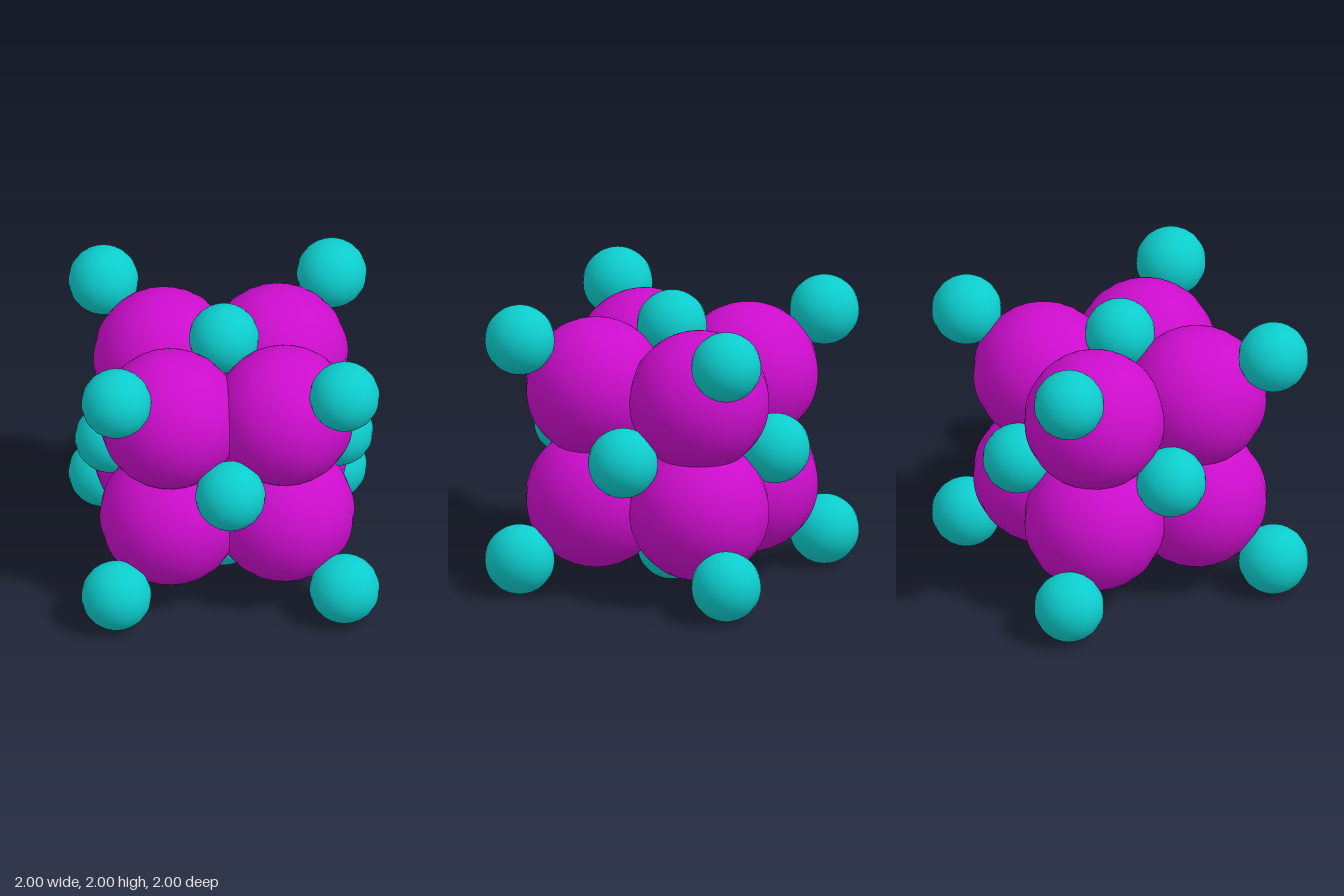
import * as THREE from 'three';

export function createModel() {
  const model = new THREE.Group();
  model.name = 'crystalCell';

  const purple = new THREE.MeshStandardMaterial({ name: 'purple', color: 0xcc0dcc });
  const teal = new THREE.MeshStandardMaterial({ name: 'teal', color: 0x0dcccc });

  const largeBall = new THREE.SphereGeometry(0.473, 20, 40);
  const smallBall = new THREE.SphereGeometry(0.235, 20, 40);
  const inner = 0.382; // half spacing of the large balls
  const outer = 0.765; // half edge of the cell

  const addBall = (name, geometry, material, x, y, z) => {
    const ball = new THREE.Mesh(geometry, material);
    ball.name = name;
    ball.position.set(x, y + 1, z);
    model.add(ball);
  };

  // Eight large balls inside, one small ball on each cell corner
  for (const x of [-1, 1]) {
    for (const y of [-1, 1]) {
      for (const z of [-1, 1]) {
        addBall('innerBall', largeBall, purple, x * inner, y * inner, z * inner);
        addBall('cornerBall', smallBall, teal, x * outer, y * outer, z * outer);
      }
    }
  }

  // One small ball in the middle of each cell face
  for (const s of [-outer, outer]) {
    addBall('faceBall', smallBall, teal, s, 0, 0);
    addBall('faceBall', smallBall, teal, 0, s, 0);
    addBall('faceBall', smallBall, teal, 0, 0, s);
  }

  return model;
}
